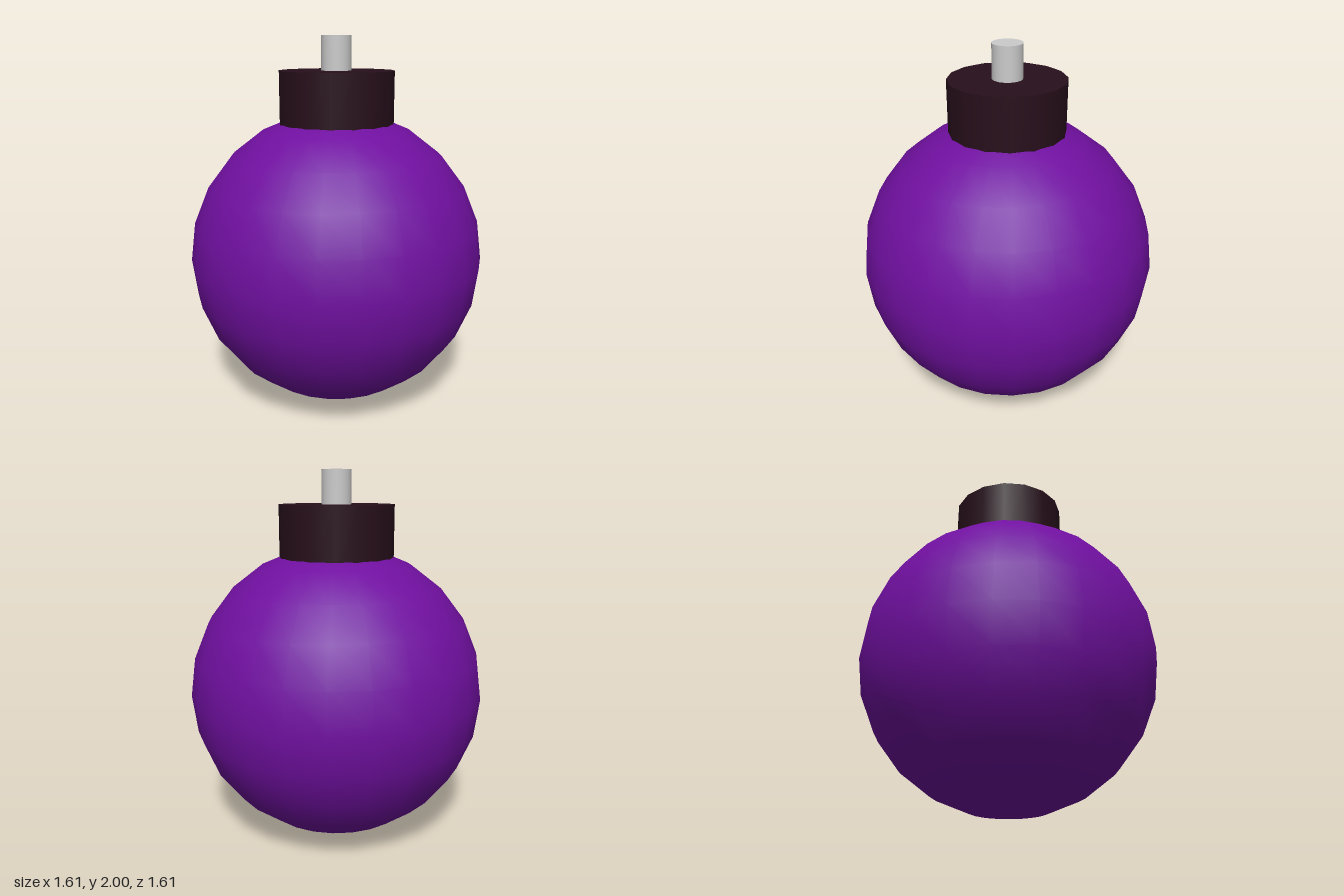
import * as THREE from 'three';

export function createModel() {
  const model = new THREE.Group();

  function addPart(name, geometry, color, y) {
    const mesh = new THREE.Mesh(geometry, new THREE.MeshStandardMaterial({ color }));
    mesh.name = name;
    mesh.position.y = y;
    model.add(mesh);
  }

  // Round body resting on the ground
  const radius = 0.805;
  addPart('body', new THREE.SphereGeometry(radius, 24, 12), 0x7010a0, radius);

  // Collar, its lower end sunk into the body
  const collarTop = 1.82, collarHeight = 0.36;
  addPart('collar', new THREE.CylinderGeometry(0.31, 0.31, collarHeight, 16), 0x270f1b, collarTop - collarHeight / 2);

  // Short stem standing on the collar
  const stemHeight = 0.22;
  addPart('stem', new THREE.CylinderGeometry(0.08, 0.08, stemHeight, 32), 0xcccccc, 2 - stemHeight / 2);

  return model;
}
